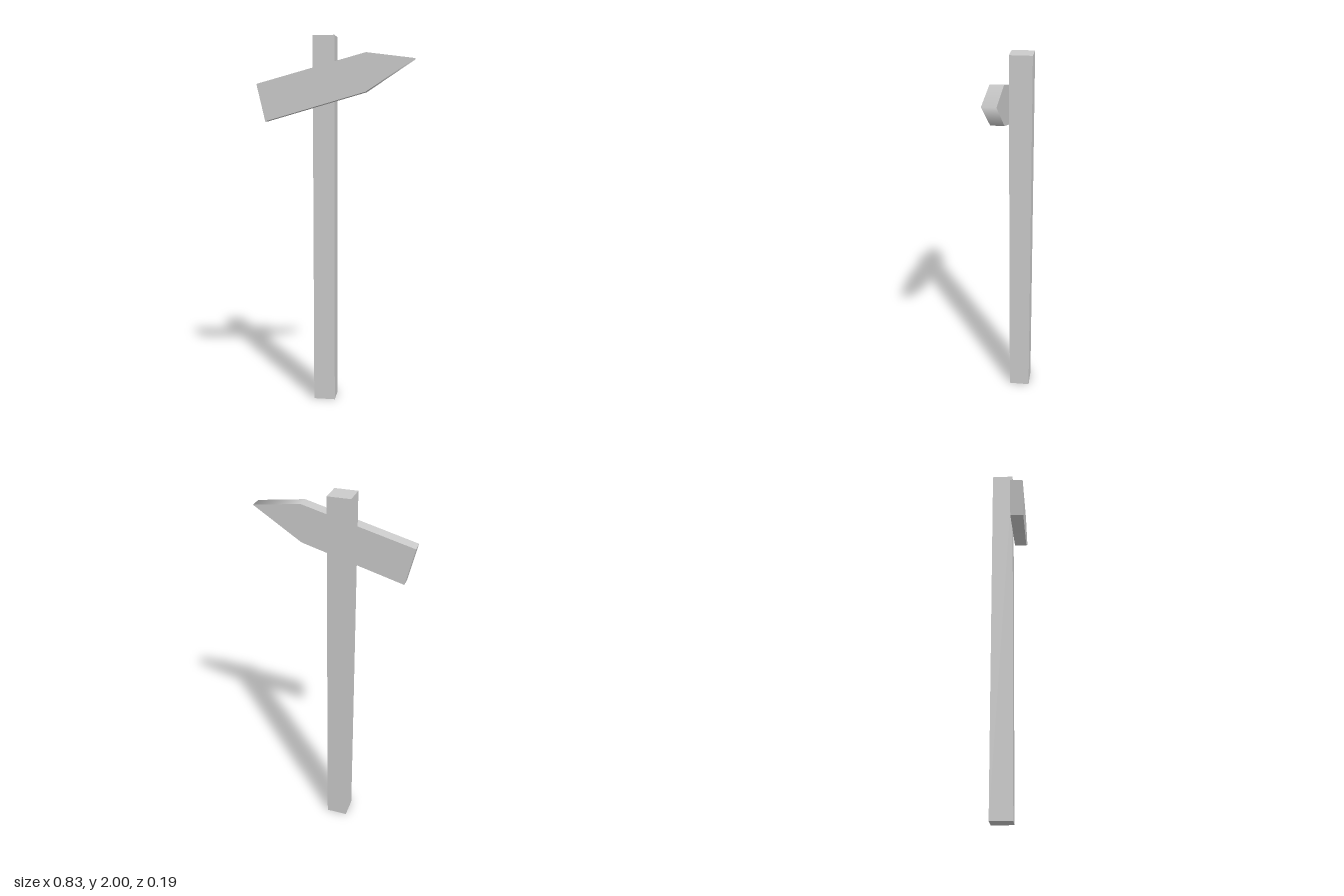
import * as THREE from 'three';

const material = new THREE.MeshStandardMaterial({ color: 0xcccccc });

// Average the side normals around one outline corner, so the nose shades smoothly
function smoothCorner(geometry, [x, y]) {
  const { position, normal } = geometry.attributes;
  const hits = [];
  const sum = new THREE.Vector3();
  for (let i = 0; i < position.count; i++) {
    const near = Math.hypot(position.getX(i) - x, position.getY(i) - y) < 1e-4;
    if (!near || Math.abs(normal.getZ(i)) > 0.5) continue;
    hits.push(i);
    sum.add(new THREE.Vector3().fromBufferAttribute(normal, i));
  }
  sum.normalize();
  for (const i of hits) normal.setXYZ(i, sum.x, sum.y, sum.z);
}

export function createModel() {
  const group = new THREE.Group();
  group.name = 'signpost';

  // Square post
  const post = new THREE.Mesh(new THREE.BoxGeometry(0.117, 2, 0.116), material);
  post.name = 'post';
  post.position.set(-0.067, 1, -0.035);
  group.add(post);

  // Tilted pointed board on the front of the post
  const butt = [[-0.415, 1.747], [-0.37, 1.552]];
  const nose = [[0.163, 1.703], [0.415, 1.869], [0.163, 1.902]];
  const outline = new THREE.Shape([...butt, ...nose].map(([x, y]) => new THREE.Vector2(x, y)));
  const boardGeometry = new THREE.ExtrudeGeometry(outline, { depth: 0.069, bevelEnabled: false });
  nose.forEach((corner) => smoothCorner(boardGeometry, corner));
  const board = new THREE.Mesh(boardGeometry, material);
  board.name = 'arrowBoard';
  board.position.z = 0.023;
  group.add(board);

  return group;
}
